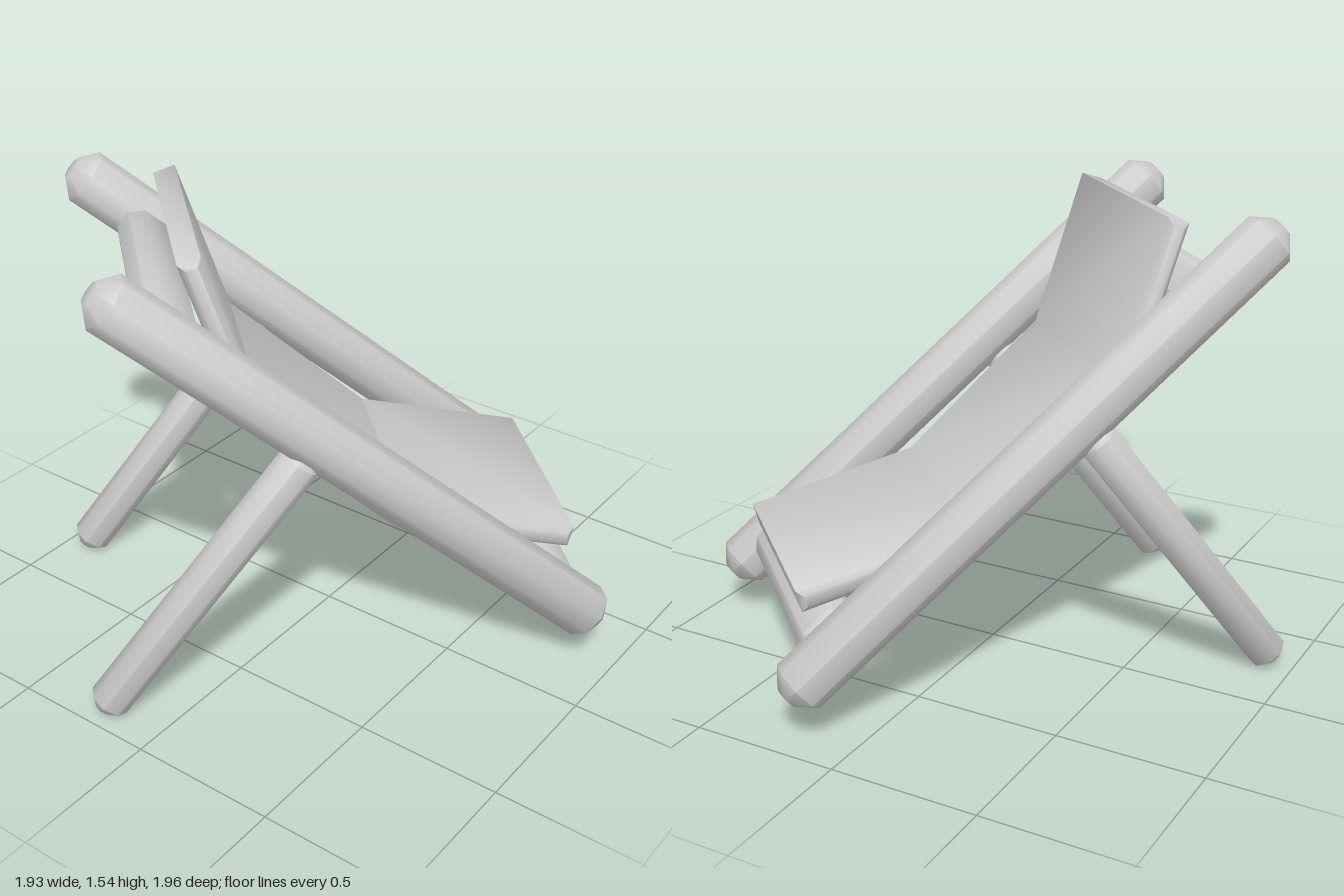
import * as THREE from 'three';
import { toCreasedNormals } from 'three/addons/utils/BufferGeometryUtils.js';

const grey = new THREE.MeshStandardMaterial({ color: 0xcccccc });

// Extrude a profile along z, centred, with a one-step chamfer kept inside its outline.
function extrude(points, length, chamfer) {
  const shape = new THREE.Shape(points.map(([x, y]) => new THREE.Vector2(x, y)));
  const geometry = new THREE.ExtrudeGeometry(shape, {
    depth: length - 2 * chamfer,
    bevelEnabled: true,
    bevelSegments: 1,
    bevelSize: chamfer,
    bevelOffset: -chamfer,
    bevelThickness: chamfer,
  });
  geometry.translate(0, 0, chamfer - length / 2);
  return toCreasedNormals(geometry, 0.9);
}

// Chamfered wooden beam running between two points, turned about its own axis.
function beam(name, from, to, width, height, chamfer, twist = 0) {
  const a = new THREE.Vector3(...from), b = new THREE.Vector3(...to);
  const x = width / 2, y = height / 2, c = chamfer;
  const octagon = [
    [x, c - y], [x, y - c], [x - c, y], [c - x, y],
    [-x, y - c], [-x, c - y], [c - x, -y], [x - c, -y],
  ];
  const mesh = new THREE.Mesh(extrude(octagon, a.distanceTo(b), c), grey);
  mesh.name = name;
  mesh.position.addVectors(a, b).multiplyScalar(0.5);
  mesh.lookAt(b);
  mesh.rotateZ(twist);
  return mesh;
}

// Outline of a strip of even thickness around a centre line, with mitred bends.
function strip(line, thickness) {
  const pts = line.map(([x, y]) => new THREE.Vector2(x, y));
  const top = [], bottom = [];
  pts.forEach((p, i) => {
    const before = p.clone().sub(pts[Math.max(i - 1, 0)]).normalize();
    const after = pts[Math.min(i + 1, pts.length - 1)].clone().sub(p).normalize();
    const dir = before.clone().add(after).normalize();
    const cosHalf = i > 0 && i < pts.length - 1 ? dir.dot(after) : 1;
    const h = thickness / 2 / cosHalf;
    top.push([p.x - dir.y * h, p.y + dir.x * h]);
    bottom.push([p.x + dir.y * h, p.y - dir.x * h]);
  });
  return [...bottom, ...top.reverse()];
}

export function createModel() {
  const group = new THREE.Group();
  group.name = 'deckChair';

  // The chair is laid out along x (foot end at +x) and then turned diagonally.
  const chair = new THREE.Group();
  chair.name = 'chair';
  chair.rotation.y = 0.823;
  group.add(chair);

  // Sloping rails and their rear props
  const slope = 0.703, half = 1.045;
  const dx = Math.cos(slope) * half, dy = Math.sin(slope) * half;
  for (const [side, z] of [['left', 0.478], ['right', -0.478]]) {
    chair.add(beam(side + 'Rail', [0.025 - dx, 0.83 + dy, z], [0.025 + dx, 0.83 - dy, z], 0.17, 0.175, 0.05));
    chair.add(beam(side + 'Leg', [-0.835, 0.02, z], [-0.155, 0.915, z], 0.125, 0.125, 0.035));
  }

  // Crossbars between the rails
  chair.add(beam('upperCrossbar', [-0.55, 1.285, -0.43], [-0.55, 1.285, 0.43], 0.19, 0.14, 0.04, -slope));
  chair.add(beam('lowerCrossbar', [0.66, 0.3, -0.43], [0.66, 0.3, 0.43], 0.19, 0.14, 0.04, -slope));

  // Sling seat: headrest, back and seat in one folded strip
  const line = [[-0.48, 1.525], [-0.31, 1.0], [0.17, 0.56], [0.75, 0.415]];
  const sling = new THREE.Mesh(extrude(strip(line, 0.075), 0.77, 0.02), grey);
  sling.name = 'slingSeat';
  chair.add(sling);

  return group;
}
